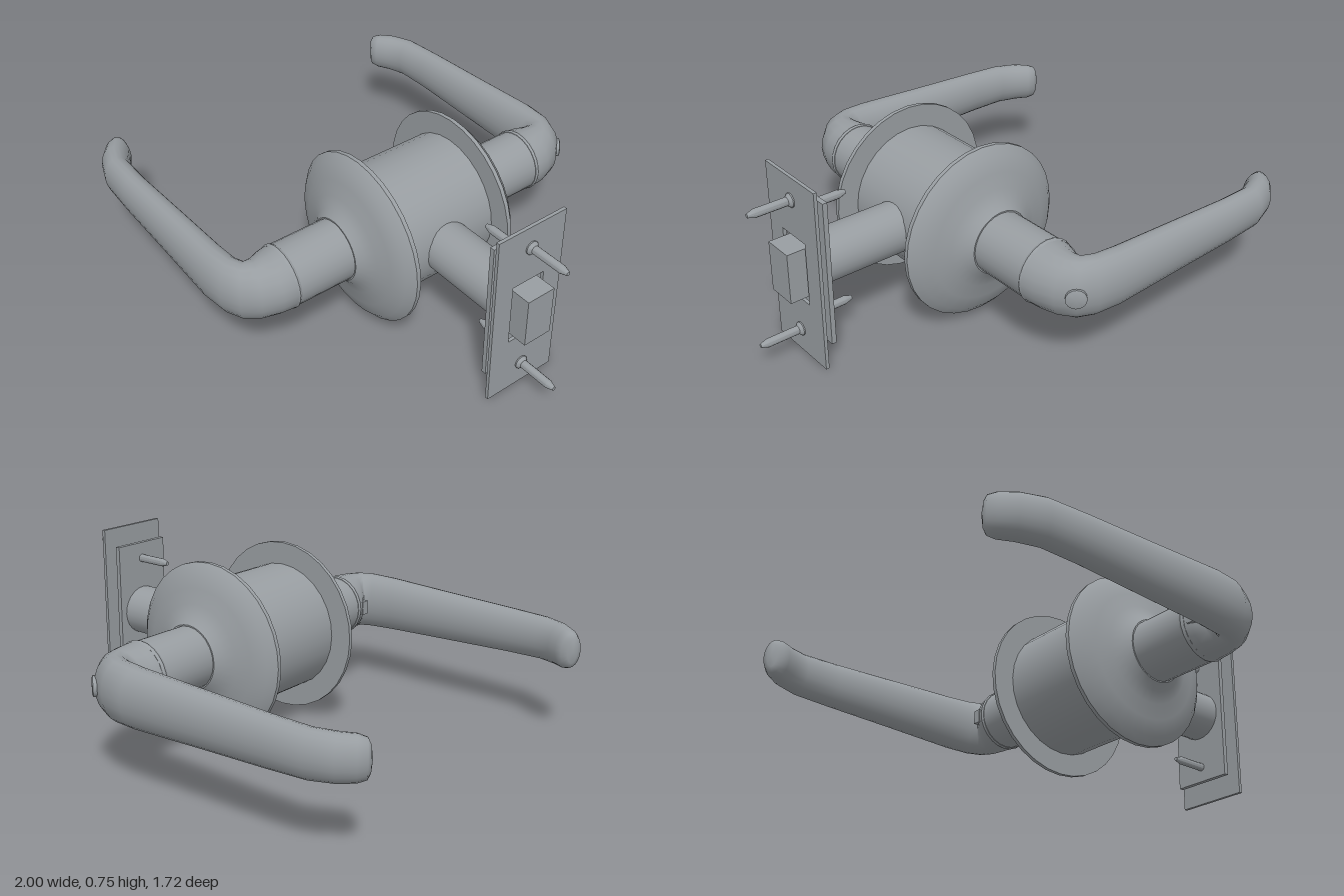
import * as THREE from 'three';
import { toCreasedNormals } from 'three/addons/utils/BufferGeometryUtils.js';

const AXIS_X = 0.13, AXIS_Y = 0.38;

// Turned part from [radius, height] points, running along +z or +x
function turned(points, sides, axis) {
  const g = new THREE.LatheGeometry(points.map(([r, h]) => new THREE.Vector2(r, h)), sides);
  if (axis === 'z') g.rotateX(Math.PI / 2);
  else g.rotateZ(-Math.PI / 2);
  return toCreasedNormals(g, 0.55);
}

// Lever swept through stations: inner x, z, outer x, z, half height
function leverGeometry() {
  const stations = [
    [0.0, 0.6, 0.262, 0.6, 0.13],
    [0.008, 0.64, 0.255, 0.67, 0.126],
    [0.035, 0.68, 0.225, 0.745, 0.124],
    [0.05, 0.7, 0.17, 0.808, 0.123],
    [0.02, 0.71, 0.09, 0.845, 0.122],
    [-0.08, 0.713, -0.02, 0.86, 0.118],
    [-0.35, 0.716, -0.35, 0.85, 0.106],
    [-0.65, 0.721, -0.65, 0.842, 0.095],
    [-0.8, 0.715, -0.82, 0.833, 0.09],
    [-0.87, 0.688, -0.92, 0.797, 0.087],
    [-0.915, 0.662, -0.977, 0.752, 0.083],
    [-0.945, 0.655, -0.998, 0.722, 0.072],
    [-0.968, 0.667, -0.995, 0.7, 0.05],
  ];
  const n = 20, pos = [], idx = [];
  for (const [ix, iz, ox, oz, h] of stations) {
    for (let j = 0; j < n; j++) {
      const a = (j / n) * Math.PI * 2, c = Math.cos(a) / 2;
      pos.push((ix + ox) / 2 + c * (ox - ix), AXIS_Y + h * Math.sin(a), (iz + oz) / 2 + c * (oz - iz));
    }
  }
  for (let i = 0; i < stations.length - 1; i++) {
    for (let j = 0; j < n; j++) {
      const a = i * n + j, b = i * n + (j + 1) % n;
      idx.push(a, b, a + n, b, b + n, a + n);
    }
  }
  // rounded tip
  const last = (stations.length - 1) * n;
  pos.push(-0.986, AXIS_Y, 0.68);
  for (let j = 0; j < n; j++) idx.push(last + j, last + (j + 1) % n, last + n);
  const g = new THREE.BufferGeometry();
  g.setAttribute('position', new THREE.Float32BufferAttribute(pos, 3));
  g.setIndex(idx);
  g.computeVertexNormals();
  return g;
}

export function createModel() {
  const model = new THREE.Group();
  model.name = 'leverDoorLock';
  const metal = new THREE.MeshStandardMaterial({ color: 0x989da1 });
  metal.name = 'satin steel';

  function add(parent, name, geometry, x = 0, y = 0, z = 0) {
    const m = new THREE.Mesh(geometry, metal);
    m.name = name;
    m.position.set(x, y, z);
    parent.add(m);
    return m;
  }

  // Lock body between the two roses
  add(model, 'lockBody', turned([[0, -0.23], [0.266, -0.23], [0.266, 0.23], [0, 0.23]], 28, 'z'), AXIS_X, AXIS_Y);

  // Rose, neck, collar and lever on each face of the door
  const rose = turned([[0, 0.218], [0.358, 0.218], [0.358, 0.235], [0.325, 0.265], [0.265, 0.287],
    [0.205, 0.304], [0.16, 0.325], [0.132, 0.35], [0, 0.35]], 32, 'z');
  const neck = turned([[0, 0.34], [0.127, 0.34], [0.127, 0.61], [0, 0.61]], 24, 'z');
  const collar = turned([[0.12, 0.592], [0.129, 0.594], [0.133, 0.604], [0.128, 0.616], [0.11, 0.618]], 24, 'z');
  const lever = leverGeometry();
  for (const side of ['front', 'back']) {
    const set = new THREE.Group();
    set.name = side + 'LeverSet';
    add(set, 'rose', rose, AXIS_X, AXIS_Y);
    add(set, 'neck', neck, AXIS_X, AXIS_Y);
    add(set, 'collar', collar, AXIS_X, AXIS_Y);
    add(set, 'lever', lever);
    add(set, 'releaseCatch', new THREE.BoxGeometry(0.04, 0.06, 0.035), 0.025, AXIS_Y, 0.648);
    if (side === 'back') {
      // turned half way round the latch axis, which mirrors the lever
      set.rotation.x = Math.PI;
      set.position.y = 2 * AXIS_Y;
      const key = add(set, 'keyCylinder', turned([[0, -0.02], [0.04, -0.02], [0.04, 0.004], [0.03, 0.008], [0, 0.008]], 16, 'z'),
        0.172, AXIS_Y, 0.806);
      key.rotation.y = 0.7;
    }
    model.add(set);
  }

  // Latch tube, bolt and faceplate
  add(model, 'latchTube', turned([[0, 0.34], [0.104, 0.34], [0.104, 0.755], [0, 0.755]], 24, 'x'), 0, AXIS_Y);
  add(model, 'latchBolt', new THREE.BoxGeometry(0.13, 0.208, 0.126), 0.825, AXIS_Y);
  add(model, 'latchFaceplate', new THREE.BoxGeometry(0.02, 0.605, 0.264), 0.76, AXIS_Y);

  // Strike plate with an opening for the bolt
  const plate = new THREE.Shape();
  plate.moveTo(-0.16, 0).lineTo(0.16, 0).lineTo(0.16, 0.755).lineTo(-0.16, 0.755).closePath();
  const hole = new THREE.Path();
  hole.moveTo(-0.075, 0.246).lineTo(-0.075, 0.51).lineTo(0.075, 0.51).lineTo(0.075, 0.246).closePath();
  plate.holes.push(hole);
  const strike = new THREE.ExtrudeGeometry(plate, { depth: 0.014, bevelEnabled: false });
  strike.rotateY(Math.PI / 2);
  add(model, 'strikePlate', strike, 0.806);

  // Screws with a tapered head and a pointed tip
  const screw = turned([[0, 0], [0.028, 0], [0.028, 0.012], [0.017, 0.024], [0.017, 0.155], [0.008, 0.185], [0, 0.187]], 12, 'x');
  for (const y of [0.1, 0.66]) add(model, 'strikeScrew', screw, 0.813, y);
  for (const y of [0.143, 0.613]) {
    add(model, 'faceplateScrew', screw, 0.776, y).rotation.y = Math.PI;
  }
  return model;
}
